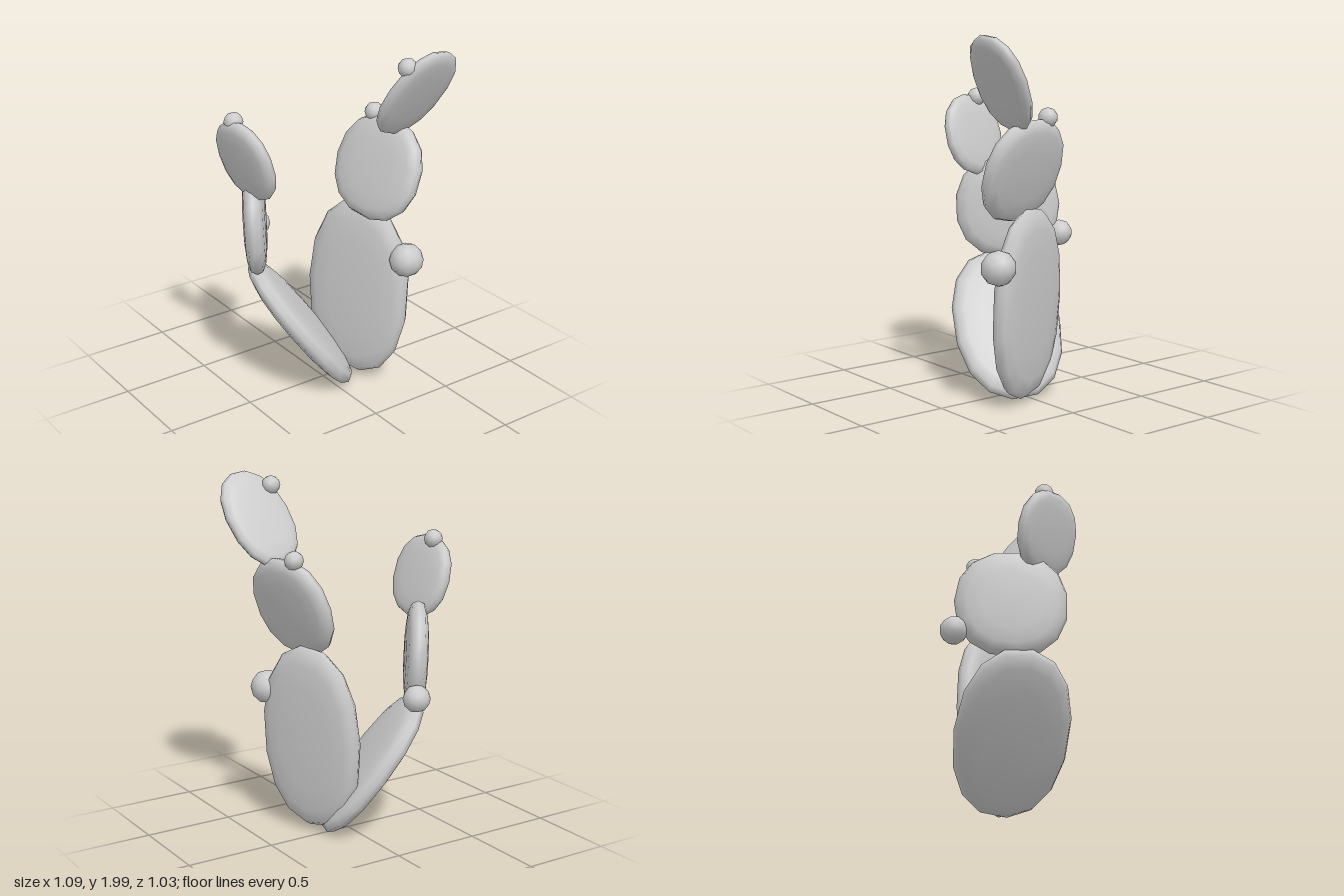
import * as THREE from 'three';
import { mergeVertices } from 'three/addons/utils/BufferGeometryUtils.js';

const material = new THREE.MeshStandardMaterial({ color: 0xcccccc });

// Signed power, used to swell an ellipse into a fuller superellipse
const bulge = (v, p) => Math.sign(v) * Math.abs(v) ** p;

// Flattened pad: x is its width, y its length, z its thickness
function padGeometry(halfLength, halfWidth, halfThickness) {
  const sides = 15, rings = 8;
  const geometry = new THREE.SphereGeometry(1, sides, rings).rotateX(Math.PI / 2);
  const pos = geometry.attributes.position;
  for (let i = 0; i < pos.count; i++) {
    const angle = Math.atan2(pos.getY(i), pos.getX(i));
    const radius = bulge(Math.hypot(pos.getX(i), pos.getY(i)), 0.65);
    pos.setXYZ(i,
      halfWidth * radius * bulge(Math.cos(angle), 0.9),
      halfLength * radius * bulge(Math.sin(angle), 0.9),
      halfThickness * bulge(pos.getZ(i), 0.65));
  }
  geometry.deleteAttribute('uv');
  geometry.deleteAttribute('normal');
  const merged = mergeVertices(geometry, 1e-4);
  merged.computeVertexNormals();
  return merged;
}

// Pad placed by its centre, its length direction and its width direction
function pad(name, center, along, across, size) {
  const mesh = new THREE.Mesh(padGeometry(...size), material);
  const u = new THREE.Vector3(...along).normalize();
  const w = new THREE.Vector3(...across);
  w.addScaledVector(u, -w.dot(u)).normalize();
  const n = new THREE.Vector3().crossVectors(w, u);
  mesh.quaternion.setFromRotationMatrix(new THREE.Matrix4().makeBasis(w, u, n));
  mesh.position.set(...center);
  mesh.name = name;
  return mesh;
}

function fruit(name, center, radius) {
  const mesh = new THREE.Mesh(new THREE.IcosahedronGeometry(radius, 1), material);
  mesh.position.set(...center);
  mesh.name = name;
  return mesh;
}

export function createModel() {
  const cactus = new THREE.Group();
  cactus.name = 'cactus';

  // Left branch: tall upright pad, round pad, thin forward-leaning pad
  const left = new THREE.Group();
  left.name = 'leftBranch';
  left.add(
    pad('leftLowerPad', [0.197, 0.555, 0.065], [0.05, 1, 0], [0.37, 0, 0.93], [0.527, 0.32, 0.068]),
    pad('leftMiddlePad', [0.26, 1.29, 0.147], [0.31, 0.94, 0], [0.19, 0, 0.98], [0.288, 0.29, 0.06]),
    pad('leftUpperPad', [0.342, 1.75, 0.354], [0.16, 0.5, 0.28], [1, 0, 0], [0.288, 0.193, 0.043]),
    fruit('leftLowerFruit', [0.31, 0.8, 0.35], 0.095),
    fruit('leftMiddleFruit', [0.32, 1.565, 0.03], 0.053),
    fruit('leftUpperFruit', [0.235, 1.92, 0.41], 0.052));

  // Right branch: leaning pad, round pad, small thin pad
  const right = new THREE.Group();
  right.name = 'rightBranch';
  right.add(
    pad('rightLowerPad', [-0.122, 0.378, -0.045], [-0.55, 0.8, -0.24], [-0.28, -0.18, 0.94], [0.46, 0.31, 0.068]),
    pad('rightMiddlePad', [-0.315, 1.01, -0.2], [-0.05, 1, 0], [-0.55, 0, 0.83], [0.3, 0.3, 0.063]),
    pad('rightUpperPad', [-0.45, 1.42, -0.06], [-0.28, 0.96, 0], [0.1, 0.12, 1], [0.235, 0.205, 0.047]),
    fruit('rightMiddleFruit', [-0.145, 0.85, -0.445], 0.075),
    fruit('rightUpperFruit', [-0.49, 1.63, -0.11], 0.052));

  cactus.add(left, right);
  return cactus;
}
